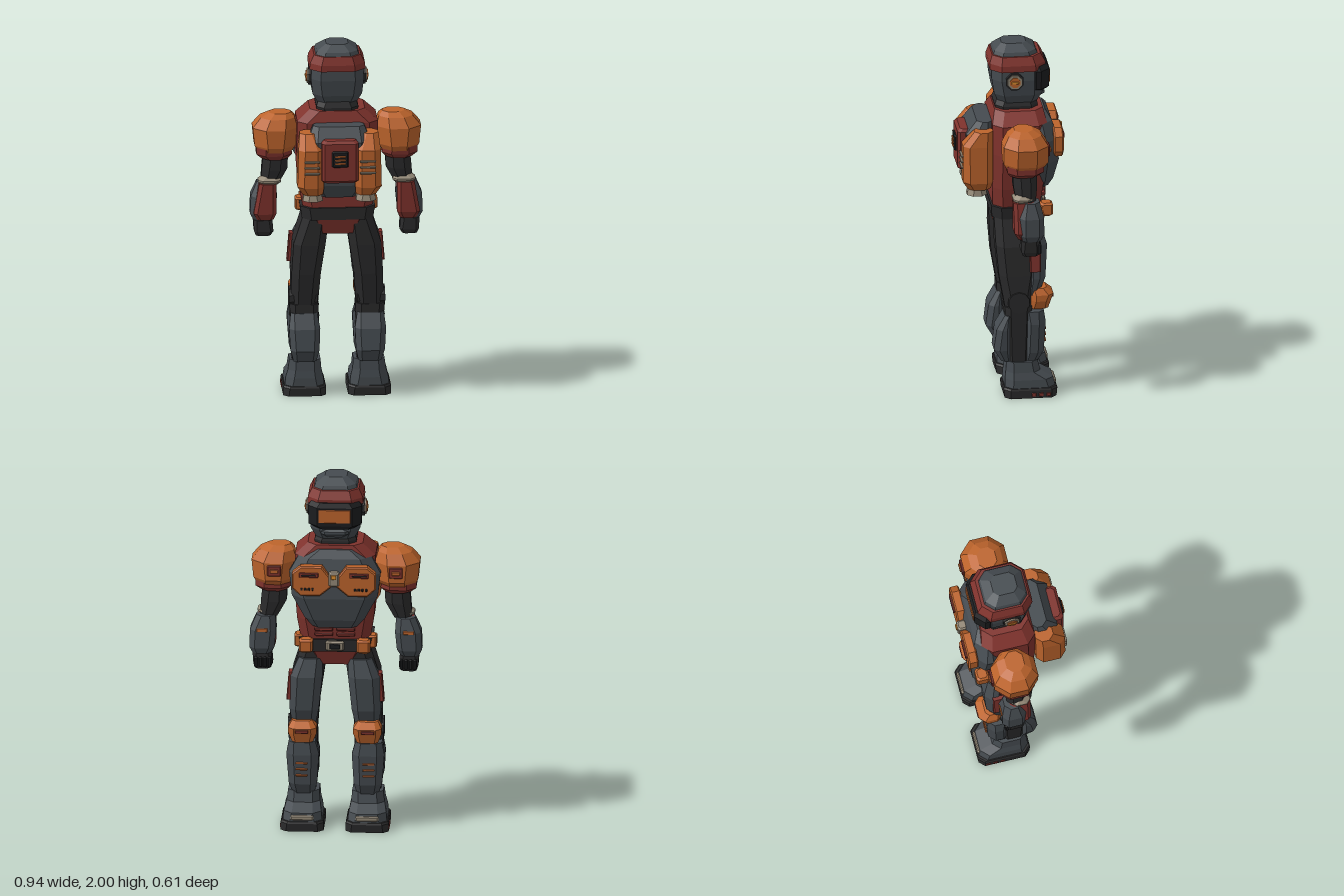
import * as THREE from 'three';

const mat = (name, color) => Object.assign(new THREE.MeshStandardMaterial({ color, flatShading: true }), { name });

export function createModel() {
  const root = new THREE.Group();
  root.name = 'armouredSoldier';
  const grey = mat('slateArmour', 0x454b50), dark = mat('darkSuit', 0x2b2b2c), red = mat('redArmour', 0x80332d);
  const orange = mat('orangeArmour', 0xbd642c), beige = mat('beigeMetal', 0x958a78), glow = mat('amberLight', 0xe0902f);
  const black = mat('blackTrim', 0x1c1d1f);

  const add = (name, geo, m) => {
    const mesh = new THREE.Mesh(geo, m);
    mesh.name = name;
    root.add(mesh);
    return mesh;
  };

  // Stack of chamfered rectangles, rows = [y, x0, x1, z0, z1, chamfer] from bottom to top; s mirrors x
  const loft = (name, m, s, rows) => {
    const rings = rows.map(([y, a, b, z0, z1, c]) => {
      const x0 = s < 0 ? -b : a, x1 = s < 0 ? -a : b;
      return [[x1, z0 + c], [x1, z1 - c], [x1 - c, z1], [x0 + c, z1], [x0, z1 - c], [x0, z0 + c], [x0 + c, z0], [x1 - c, z0]]
        .map(([x, z]) => [x, y, z]);
    });
    const pos = [], top = rings[rings.length - 1];
    const tri = (a, b, c) => pos.push(...a, ...b, ...c);
    for (let r = 0; r < rings.length - 1; r++) {
      for (let i = 0; i < 8; i++) {
        const j = (i + 1) % 8, a = rings[r], b = rings[r + 1];
        tri(a[i], b[i], a[j]);
        tri(a[j], b[i], b[j]);
      }
    }
    for (let i = 1; i < 7; i++) {
      tri(top[0], top[i + 1], top[i]);
      tri(rings[0][0], rings[0][i], rings[0][i + 1]);
    }
    const g = new THREE.BufferGeometry();
    g.setAttribute('position', new THREE.Float32BufferAttribute(pos, 3));
    g.computeVertexNormals();
    return add(name, g, m);
  };

  // Bevelled block given by its limits
  const block = (name, m, s, x0, x1, y0, y1, z0, z1, b = 0.002) => loft(name, m, s, [
    [y0, x0 + b, x1 - b, z0 + b, z1 - b, b], [y0 + b, x0, x1, z0, z1, b],
    [y1 - b, x0, x1, z0, z1, b], [y1, x0 + b, x1 - b, z0 + b, z1 - b, b]]);

  // Disc facing sideways
  const disc = (name, m, s, x, y, z, r, w, n = 8) => {
    const g = new THREE.CylinderGeometry(r, r, w, n).rotateY(Math.PI / n).rotateZ(Math.PI / 2);
    add(name, g, m).position.set(s * x, y, z);
  };

  // Helmet and neck
  loft('neck', dark, 1, [[1.6, -0.11, 0.11, -0.16, 0.07, 0.04], [1.65, -0.115, 0.115, -0.16, 0.075, 0.04],
    [1.69, -0.1, 0.1, -0.15, 0.06, 0.04]]);
  loft('helmet', grey, 1, [[1.665, -0.105, 0.105, -0.16, 0.055, 0.04], [1.72, -0.135, 0.135, -0.185, 0.08, 0.05],
    [1.81, -0.145, 0.145, -0.185, 0.095, 0.05], [1.88, -0.14, 0.14, -0.185, 0.095, 0.05]]);
  loft('helmetBand', red, 1, [[1.865, -0.153, 0.153, -0.2, 0.105, 0.06], [1.9, -0.15, 0.15, -0.2, 0.105, 0.06],
    [1.945, -0.128, 0.128, -0.175, 0.09, 0.05]]);
  loft('helmetDome', grey, 1, [[1.93, -0.125, 0.125, -0.165, 0.088, 0.05], [1.965, -0.11, 0.11, -0.15, 0.075, 0.045],
    [2, -0.06, 0.06, -0.1, 0.035, 0.025]]);
  loft('visorFrame', black, 1, [[1.735, -0.1, 0.1, -0.21, -0.09, 0.03], [1.755, -0.145, 0.145, -0.22, -0.095, 0.05],
    [1.86, -0.147, 0.147, -0.222, -0.095, 0.05], [1.885, -0.13, 0.13, -0.21, -0.1, 0.05]]);
  block('visorWindow', orange, 1, -0.088, 0.088, 1.775, 1.85, -0.227, -0.218);
  block('chinGuard', grey, 1, -0.075, 0.075, 1.68, 1.735, -0.2, -0.1, 0.02);
  for (const s of [1, -1]) {
    disc('earMount', dark, s, 0.146, 1.81, -0.025, 0.052, 0.02);
    disc('earRing', beige, s, 0.154, 1.81, -0.025, 0.043, 0.02);
    disc('earCap', orange, s, 0.16, 1.81, -0.025, 0.03, 0.02);
    block('earLight', glow, s, 0.168, 0.174, 1.803, 1.817, -0.045, -0.005);
  }

  // Torso
  loft('torso', red, 1, [[1.08, -0.19, 0.19, -0.165, 0.095, 0.05], [1.2, -0.21, 0.21, -0.18, 0.1, 0.05],
    [1.4, -0.225, 0.225, -0.19, 0.1, 0.05], [1.57, -0.22, 0.22, -0.2, 0.1, 0.05], [1.635, -0.15, 0.15, -0.185, 0.08, 0.05]]);
  loft('chestPlate', grey, 1, [[1.17, -0.12, 0.12, -0.215, -0.1, 0.03], [1.22, -0.165, 0.165, -0.24, -0.1, 0.05],
    [1.35, -0.235, 0.235, -0.265, -0.09, 0.07], [1.48, -0.25, 0.25, -0.258, -0.08, 0.07],
    [1.57, -0.2, 0.2, -0.23, -0.09, 0.06], [1.615, -0.12, 0.12, -0.2, -0.1, 0.04]]);
  block('latch', beige, 1, -0.028, 0.028, 1.43, 1.51, -0.295, -0.24, 0.008);
  block('latchLight', glow, 1, -0.014, 0.014, 1.475, 1.5, -0.303, -0.294);
  for (const s of [1, -1]) {
    const outline = [[0.02, 1.47], [0.07, 1.535], [0.18, 1.535], [0.222, 1.5], [0.222, 1.42], [0.18, 1.38], [0.08, 1.38], [0.02, 1.43]];
    const shape = new THREE.Shape(outline.map(([x, y]) => new THREE.Vector2(s * x, y)));
    const g = new THREE.ExtrudeGeometry(shape, { depth: 0.04, bevelSize: 0.007, bevelThickness: 0.007, bevelSegments: 1 });
    add('breastPlate', g, orange).position.z = -0.278;
    block('breastSlot', red, s, 0.085, 0.19, 1.482, 1.508, -0.294, -0.283);
    block('breastSlotShade', black, s, 0.1, 0.18, 1.49, 1.499, -0.296, -0.288);
    for (let i = 0; i < 4; i++) block('breastVent', black, s, 0.11 + i * 0.02, 0.123 + i * 0.02, 1.405, 1.42, -0.288, -0.28);
    for (const y of [1.115, 1.145]) block('abdomenRib', red, s, 0.01, 0.11, y, y + 0.018, -0.2, -0.15, 0.004);
  }

  // Belt and hips
  loft('belt', dark, 1, [[1.02, -0.195, 0.195, -0.18, 0.1, 0.05], [1.09, -0.205, 0.205, -0.185, 0.105, 0.05]]);
  loft('pelvis', red, 1, [[0.935, -0.11, 0.11, -0.14, 0.075, 0.03], [1.03, -0.15, 0.15, -0.165, 0.097, 0.03]]);
  block('buckle', beige, 1, -0.05, 0.05, 1.03, 1.085, -0.205, -0.17, 0.008);
  block('buckleInset', black, 1, -0.028, 0.028, 1.043, 1.072, -0.209, -0.2);

  // Backpack
  loft('packCore', grey, 1, [[1.17, -0.1, 0.1, 0.08, 0.17, 0.03], [1.25, -0.15, 0.15, 0.08, 0.22, 0.04],
    [1.5, -0.17, 0.17, 0.08, 0.24, 0.05], [1.575, -0.14, 0.14, 0.09, 0.18, 0.03]]);
  block('packPanel', red, 1, -0.1, 0.1, 1.28, 1.52, 0.2, 0.282, 0.015);
  block('packHatch', black, 1, -0.045, 0.045, 1.375, 1.465, 0.27, 0.295, 0.006);
  for (let i = 0; i < 3; i++) block('hatchSlat', orange, 1, -0.03, 0.03, 1.394 + i * 0.02, 1.403 + i * 0.02, 0.294, 0.302);

  for (const s of [1, -1]) {
    loft('packTank', orange, s, [[1.2, 0.09, 0.2, 0.11, 0.235, 0.03], [1.25, 0.085, 0.23, 0.1, 0.265, 0.035],
      [1.46, 0.085, 0.225, 0.1, 0.265, 0.035], [1.54, 0.12, 0.215, 0.1, 0.2, 0.03]]);
    for (let i = 0; i < 3; i++) block('tankVent', beige, s, 0.11, 0.195, 1.33 + i * 0.033, 1.34 + i * 0.033, 0.262, 0.276);
    loft('thruster', beige, s, [[1.165, 0.09, 0.2, 0.13, 0.24, 0.03], [1.215, 0.1, 0.19, 0.14, 0.23, 0.03]]);

    // Belt pouches
    block('frontPouch', orange, s, 0.12, 0.195, 1.025, 1.1, -0.23, -0.16, 0.01);
    block('sidePouch', orange, s, 0.18, 0.225, 1.03, 1.1, -0.14, -0.06, 0.008);

    // Shoulder
    loft('shoulderPad', orange, s, [[1.385, 0.25, 0.43, -0.15, 0.045, 0.05], [1.42, 0.225, 0.45, -0.18, 0.065, 0.07],
      [1.52, 0.215, 0.46, -0.18, 0.065, 0.07], [1.575, 0.23, 0.415, -0.145, 0.035, 0.05], [1.6, 0.25, 0.37, -0.1, 0, 0.03]]);
    loft('shoulderTrim', red, s, [[1.345, 0.27, 0.41, -0.13, 0.03, 0.04], [1.37, 0.245, 0.44, -0.155, 0.045, 0.05],
      [1.41, 0.25, 0.44, -0.155, 0.05, 0.05]]);
    block('shoulderBadge', red, s, 0.295, 0.37, 1.45, 1.51, -0.192, -0.17, 0.004);
    block('badgeStripe', orange, s, 0.31, 0.355, 1.47, 1.49, -0.2, -0.19);

    // Arm
    loft('upperArm', dark, s, [[1.19, 0.32, 0.415, -0.11, -0.005, 0.03], [1.28, 0.27, 0.41, -0.12, 0.01, 0.04],
      [1.38, 0.265, 0.4, -0.12, 0.015, 0.04]]);
    block('elbowGuard', beige, s, 0.305, 0.43, 1.185, 1.245, -0.09, 0.015, 0.025);
    loft('forearm', red, s, [[0.99, 0.345, 0.435, -0.1, -0.01, 0.02], [1.03, 0.33, 0.455, -0.11, 0.012, 0.02],
      [1.2, 0.33, 0.425, -0.1, 0.015, 0.02]]);
    loft('forearmGuard', grey, s, [[0.985, 0.355, 0.455, -0.135, -0.03, 0.025], [1.02, 0.335, 0.472, -0.15, -0.015, 0.03],
      [1.12, 0.325, 0.468, -0.15, -0.015, 0.03], [1.2, 0.33, 0.435, -0.13, -0.03, 0.03]]);
    block('forearmSlot', orange, s, 0.37, 0.43, 1.115, 1.135, -0.154, -0.146);
    loft('hand', dark, s, [[0.895, 0.36, 0.44, -0.12, -0.035, 0.015], [0.92, 0.345, 0.45, -0.125, -0.025, 0.015],
      [0.985, 0.35, 0.455, -0.125, -0.025, 0.02]]);
    for (let i = 0; i < 4; i++) block('finger', black, s, 0.35 + i * 0.025, 0.37 + i * 0.025, 0.905, 0.965, -0.135, -0.11, 0.005);

    // Thigh and knee
    loft('thigh', dark, s, [[0.5, 0.105, 0.255, -0.11, 0.035, 0.04], [0.7, 0.09, 0.25, -0.14, 0.07, 0.04],
      [0.87, 0.065, 0.24, -0.15, 0.085, 0.04], [1.03, 0.045, 0.19, -0.15, 0.09, 0.04]]);
    loft('thighGuard', grey, s, [[0.58, 0.11, 0.235, -0.15, -0.08, 0.025], [0.68, 0.09, 0.25, -0.185, -0.08, 0.035],
      [0.87, 0.07, 0.245, -0.195, -0.08, 0.04], [0.97, 0.07, 0.2, -0.165, -0.08, 0.03]]);
    loft('thighPanel', red, s, [[0.73, 0.235, 0.268, -0.155, -0.095, 0.006], [0.89, 0.22, 0.255, -0.155, -0.095, 0.006]]);
    disc('kneeJoint', dark, s, 0.185, 0.55, -0.035, 0.06, 0.155, 10);
    loft('kneePad', orange, s, [[0.5, 0.12, 0.235, -0.2, -0.1, 0.02], [0.55, 0.1, 0.255, -0.215, -0.1, 0.03],
      [0.585, 0.1, 0.255, -0.228, -0.1, 0.03], [0.62, 0.125, 0.235, -0.19, -0.1, 0.02]]);
    block('kneeSlot', red, s, 0.145, 0.215, 0.56, 0.578, -0.231, -0.222);

    // Lower leg
    loft('lowerLeg', dark, s, [[0.18, 0.11, 0.245, -0.1, 0.03, 0.03], [0.52, 0.1, 0.26, -0.11, 0.04, 0.03]]);
    loft('shinGuard', grey, s, [[0.19, 0.115, 0.235, -0.145, -0.06, 0.025], [0.25, 0.1, 0.255, -0.175, -0.06, 0.035],
      [0.42, 0.09, 0.268, -0.185, -0.06, 0.04], [0.49, 0.11, 0.255, -0.175, -0.06, 0.03]]);
    for (let i = 0; i < 3; i++) block('shinVent', orange, s, 0.15, 0.215, 0.3 + i * 0.035, 0.31 + i * 0.035, -0.189, -0.179);
    loft('calfGuard', grey, s, [[0.2, 0.115, 0.24, 0, 0.06, 0.02], [0.27, 0.1, 0.258, 0, 0.1, 0.03],
      [0.39, 0.095, 0.265, 0, 0.085, 0.03], [0.47, 0.11, 0.255, 0, 0.04, 0.02]]);

    // Boot
    loft('sole', dark, s, [[0, 0.06, 0.295, -0.24, 0.045, 0.03], [0.045, 0.06, 0.295, -0.245, 0.05, 0.035],
      [0.055, 0.065, 0.29, -0.24, 0.045, 0.035]]);
    loft('boot', grey, s, [[0.05, 0.07, 0.285, -0.235, 0.04, 0.04], [0.1, 0.075, 0.28, -0.225, 0.04, 0.045],
      [0.14, 0.085, 0.268, -0.155, 0.035, 0.04], [0.2, 0.09, 0.26, -0.14, 0.03, 0.035]]);
    block('toeStrip', beige, s, 0.115, 0.24, 0.062, 0.09, -0.24, -0.2, 0.006);
    for (let i = 0; i < 3; i++) block('soleMark', red, s, 0.29, 0.299, 0.01, 0.03, -0.125 - i * 0.04, -0.1 - i * 0.04);
  }
  return root;
}
